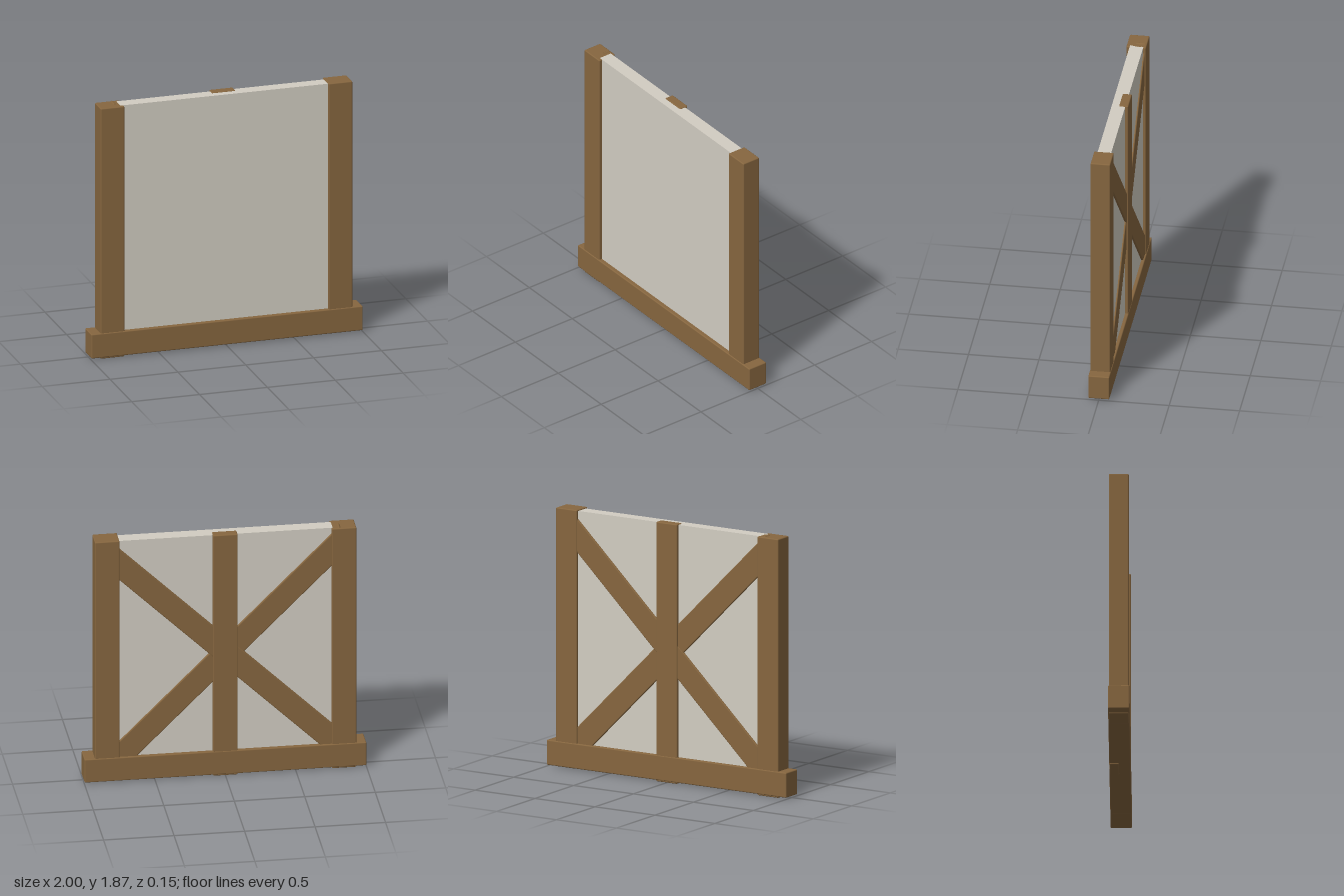
import * as THREE from 'three';
import { RoundedBoxGeometry } from 'three/addons/geometries/RoundedBoxGeometry.js';

export function createModel() {
  const model = new THREE.Group();
  model.name = 'timberWallPanel';
  const wood = new THREE.MeshStandardMaterial({ color: 0x86663f });
  const plaster = new THREE.MeshStandardMaterial({ color: 0xd2cdc2 });
  const WIDTH = 0.175; // shared timber width

  // Timber with narrow bevelled edges, given by its size, centre and tilt
  function timber(name, size, centre, tilt = 0) {
    const mesh = new THREE.Mesh(new RoundedBoxGeometry(...size, 2, 0.008), wood);
    mesh.name = name;
    mesh.position.set(...centre);
    mesh.rotation.z = tilt;
    model.add(mesh);
  }

  // Base beam
  timber('baseBeam', [2, 0.18, 0.15], [0, 0.1, 0]);

  // Side posts, one set slightly higher than the other
  timber('rightPost', [WIDTH, 1.86, 0.14], [-0.8425, 0.93, 0]);
  timber('leftPost', [WIDTH, 1.86, 0.14], [0.8375, 0.938, 0]);

  // Middle post, on the back only
  timber('middlePost', [WIDTH, 1.866, 0.066], [0, 0.933, -0.039]);

  // Crossed braces on the back; the longer one breaks through its posts
  timber('longBrace', [2.463, WIDTH, 0.07], [0, 0.937, -0.026], -Math.PI / 4);
  timber('shortBrace', [2.26, WIDTH, 0.07], [0, 0.957, -0.028], 0.768);

  // Plaster infill
  const infill = new THREE.Mesh(new THREE.BoxGeometry(1.56, 1.76, 0.096), plaster);
  infill.name = 'plasterInfill';
  infill.position.set(0, 0.98, -0.002);
  model.add(infill);

  return model;
}
